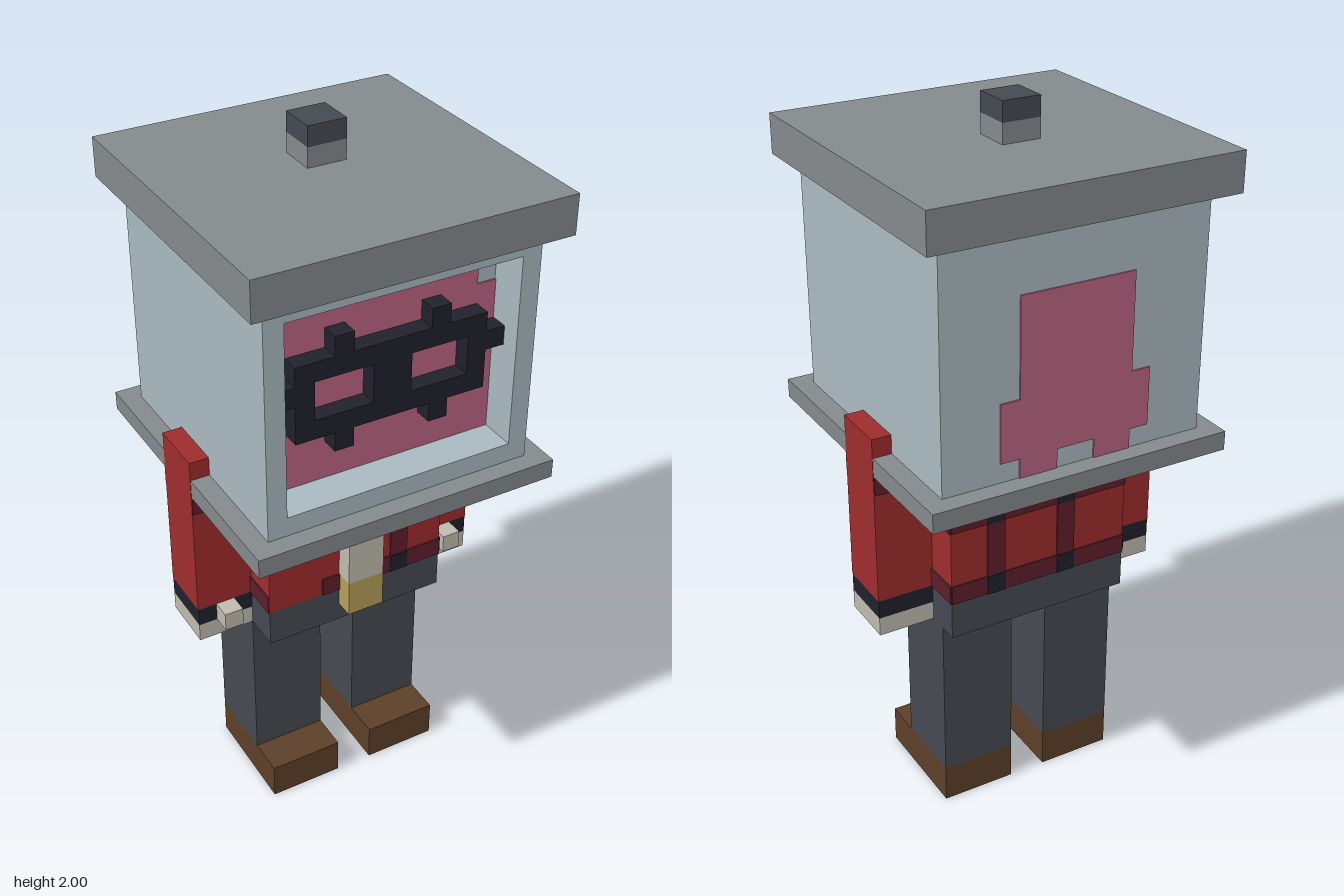
import * as THREE from 'three';

const U = 2 / 37; // one block unit
const T = 0.08;   // thickness of painted plates, in units

export function createModel() {
  const root = new THREE.Group();
  root.name = 'jarHeadFigure';
  const mat = (name, color) => {
    const m = new THREE.MeshStandardMaterial({ color });
    m.name = name;
    return m;
  };
  const lidGrey = mat('lidGrey', 0x84898c), glass = mat('paleGlass', 0xa9b9c0);
  const pink = mat('pink', 0xba6480), black = mat('inkBlack', 0x20212c);
  const red = mat('red', 0x9e2c2c), darkRed = mat('darkRed', 0x5e1e2a);
  const cream = mat('cream', 0xbfbaae), gold = mat('gold', 0xb59d58);
  const slate = mat('slate', 0x454950), brown = mat('brown', 0x5c3f28);

  // Box given by its limits in block units
  const box = (name, m, x0, x1, y0, y1, z0, z1) => {
    const mesh = new THREE.Mesh(new THREE.BoxGeometry((x1 - x0) * U, (y1 - y0) * U, (z1 - z0) * U), m);
    mesh.position.set((x0 + x1) / 2 * U, (y0 + y1) / 2 * U, (z0 + z1) / 2 * U);
    mesh.name = name;
    root.add(mesh);
    return mesh;
  };
  // Mirrored pair of boxes, limits given for the +x side
  const pair = (name, m, x0, x1, ...rest) => {
    box(name + 'Left', m, x0, x1, ...rest);
    box(name + 'Right', m, -x1, -x0, ...rest);
  };
  // Flat outline extruded forward from z0 to z1
  const points = (list) => list.map(([x, y]) => new THREE.Vector2(x * U, y * U));
  const rect = (x0, x1, y0, y1) => [[x0, y0], [x1, y0], [x1, y1], [x0, y1]];
  const slab = (name, m, outline, holes, z0, z1) => {
    const shape = new THREE.Shape(points(outline));
    holes.forEach((h) => shape.holes.push(new THREE.Path(points(h))));
    const geo = new THREE.ExtrudeGeometry(shape, { depth: (z1 - z0) * U, bevelEnabled: false });
    const mesh = new THREE.Mesh(geo, m);
    mesh.position.z = z0 * U;
    mesh.name = name;
    root.add(mesh);
  };

  // Shoes, legs, hips
  pair('shoe', brown, 1, 5, 0, 2, -3, 3);
  pair('leg', slate, 1, 5, 2, 11, -3, 1);
  box('hips', slate, -5, 5, 11, 13, -4, 3);

  // Jacket body
  box('jacket', red, -5, 5, 13, 20, -4, 3);
  for (const y of [13, 17]) {
    box('backBand', darkRed, -5, 5, y, y + 1, -4 - T, -4);
    pair('sideBand', darkRed, 5, 5 + T, y, y + 1, -4, 3);
  }
  for (const x of [-2, 2]) {
    box('backStripe', darkRed, x, x + 1, 13, 20, -4 - T, -4);
    for (const y of [13, 17]) box('backCheck', black, x, x + 1, y, y + 1, -4 - 1.6 * T, -4);
  }
  box('frontBand', darkRed, 1, 5, 13, 14, 3, 3 + T);
  box('frontStripe', darkRed, 2, 3, 14, 17, 3, 3 + T);
  box('frontCheckLeft', black, 2, 3, 13, 14, 3, 3 + 1.6 * T);
  box('frontCheckRight', darkRed, -2, -1, 13, 14, 3, 3 + T);

  // Collar and lapels
  pair('lapel', red, 1, 4, 17, 19, 3, 4);
  pair('collar', black, 1, 4, 19, 20, 3, 4);
  box('lapelKnot', red, -1, 1, 18, 19, 3, 4);
  box('throat', cream, -1, 1, 19, 20, 3, 4);
  box('lapelStripe', darkRed, -2, -1, 18, 19, 4, 4 + T);
  box('lapelBand', darkRed, -4, -2, 17, 18, 4, 4 + T);
  box('lapelCheck', black, -4, -3, 17, 18, 4, 4 + 1.6 * T);

  // Tie
  box('tie', cream, -1, 1, 14, 18, 3, 4);
  box('tieTip', gold, -1, 1, 12, 14, 3, 4);

  // Arms and hands
  pair('sleeve', red, 5, 8.02, 13, 22, -2, 1);
  pair('sleeveBandFront', darkRed, 5, 8, 19, 20, 1, 1 + T);
  pair('sleeveBandBack', darkRed, 5, 8, 19, 20, -2 - T, -2);
  pair('cuff', black, 5, 8, 12, 13, -2, 1);
  pair('hand', cream, 5, 8, 11, 12, -2, 1);
  pair('thumb', cream, 6, 7, 12, 13, 1, 2);

  // Jar head with a recessed front window
  box('jarBase', lidGrey, -8, 8, 20, 21, -8, 8);
  box('jar', glass, -7, 7, 21, 33, -7, 5);
  slab('windowFrame', glass, rect(-7, 7, 21, 33), [rect(-6, 6, 22, 32)], 5, 7);
  box('lid', lidGrey, -8, 8, 33, 35, -8, 8);
  box('knobStem', lidGrey, -1, 1, 35, 36, -2, 0);
  box('knob', slate, -1, 1, 36, 37, -2, 0);

  // Pink face and the pink patch at the back
  slab('face', pink,
    [[-6, 22], [6, 22], [6, 30], [5, 30], [5, 31], [3, 31], [3, 32], [-6, 32]], [], 5, 5 + T);
  slab('backPatch', pink,
    [[-4, 22], [-3, 22], [-3, 21], [-1, 21], [-1, 22], [1, 22], [1, 21], [3, 21], [3, 22],
      [4, 22], [4, 25], [3, 25], [3, 30], [-3, 30], [-3, 25], [-4, 25]], [], -7 - T, -7);

  // Spectacles
  slab('spectacleFrame', black, rect(-5, 5, 25, 29), [rect(-4, -1, 26, 28), rect(1, 4, 26, 28)], 5, 6);
  pair('spectacleArm', black, 5, 6, 27, 28, 5, 6);
  pair('upperLash', black, 2, 3, 29, 30, 5, 6);
  pair('lowerLash', black, 2, 3, 24, 25, 5, 6);

  return root;
}
